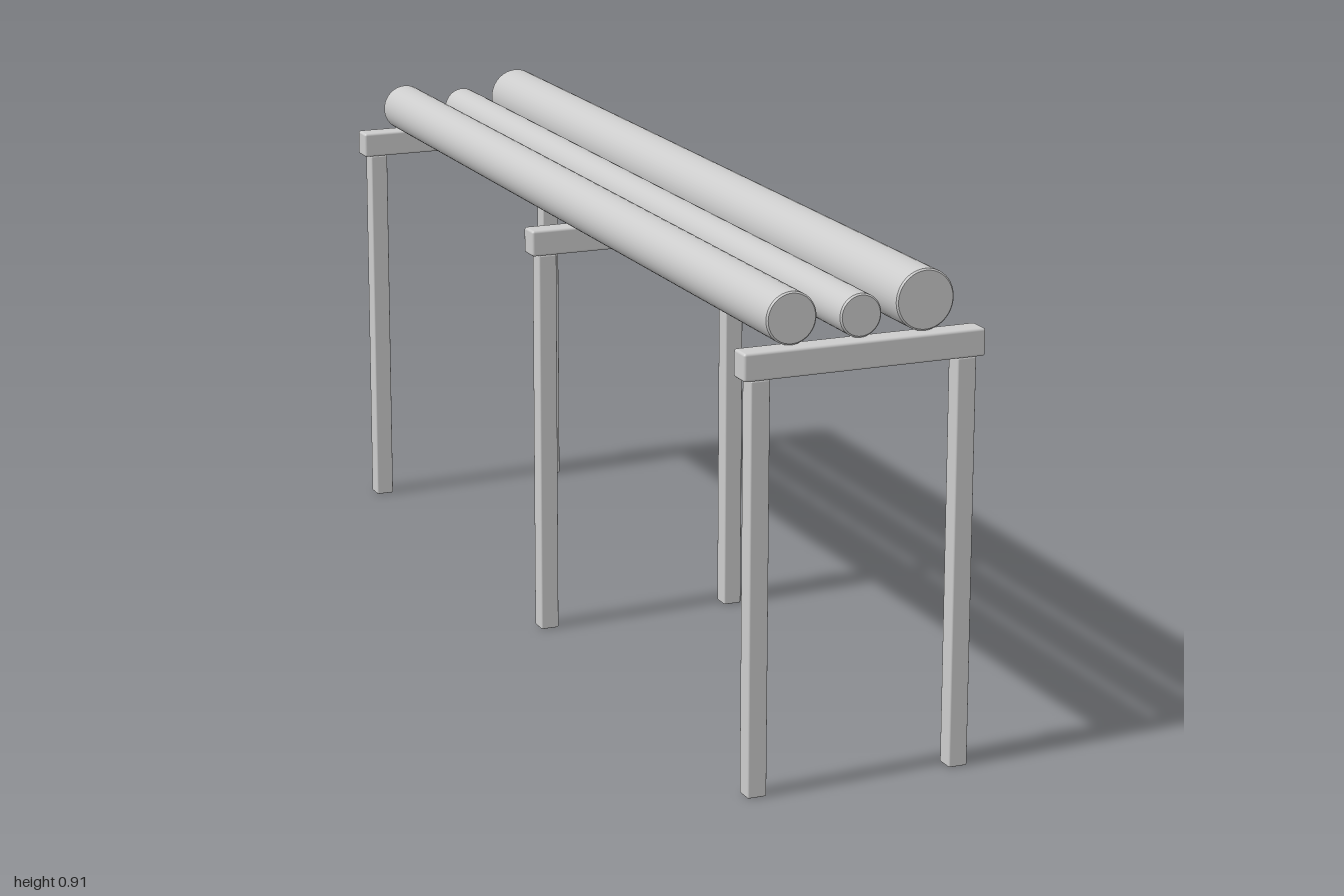
import * as THREE from 'three';
import { RoundedBoxGeometry } from 'three/addons/geometries/RoundedBoxGeometry.js';

const material = new THREE.MeshStandardMaterial({ color: 0xcccccc });

function addMesh(parent, name, geometry, x, y, z) {
  const mesh = new THREE.Mesh(geometry, material);
  mesh.name = name;
  mesh.position.set(x, y, z);
  parent.add(mesh);
  return mesh;
}

// Solid pipe along z with a small chamfer at both rims
function pipeGeometry(radius, length) {
  const h = length / 2, c = 0.003;
  const profile = [[0, -h], [radius - c, -h], [radius - c, -h], [radius, c - h], [radius, c - h],
    [radius, h - c], [radius, h - c], [radius - c, h], [radius - c, h], [0, h]];
  const geometry = new THREE.LatheGeometry(profile.map(([x, y]) => new THREE.Vector2(x, y)), 48);
  return geometry.rotateX(Math.PI / 2);
}

export function createModel() {
  const model = new THREE.Group();
  model.name = 'pipeRack';

  // Three trestles: two posts under a crossbeam
  const beam = new RoundedBoxGeometry(0.456, 0.05, 0.045, 2, 0.005);
  const post = new RoundedBoxGeometry(0.036, 0.75, 0.036, 2, 0.003);
  for (const [name, z] of [['front', 0.9775], ['middle', 0], ['back', -0.9775]]) {
    const trestle = new THREE.Group();
    trestle.name = name + 'Trestle';
    trestle.position.z = z;
    addMesh(trestle, 'crossbeam', beam, 0, 0.775, 0);
    addMesh(trestle, 'leftPost', post, 0.195, 0.375, 0);
    addMesh(trestle, 'rightPost', post, -0.195, 0.375, 0);
    model.add(trestle);
  }

  // Pipes of different thickness resting on the crossbeams
  for (const [name, x, r] of [['rightPipe', -0.13, 0.047], ['middlePipe', 0, 0.039], ['leftPipe', 0.122, 0.055]]) {
    addMesh(model, name, pipeGeometry(r, 1.955), x, 0.8 + r, 0);
  }
  return model;
}
